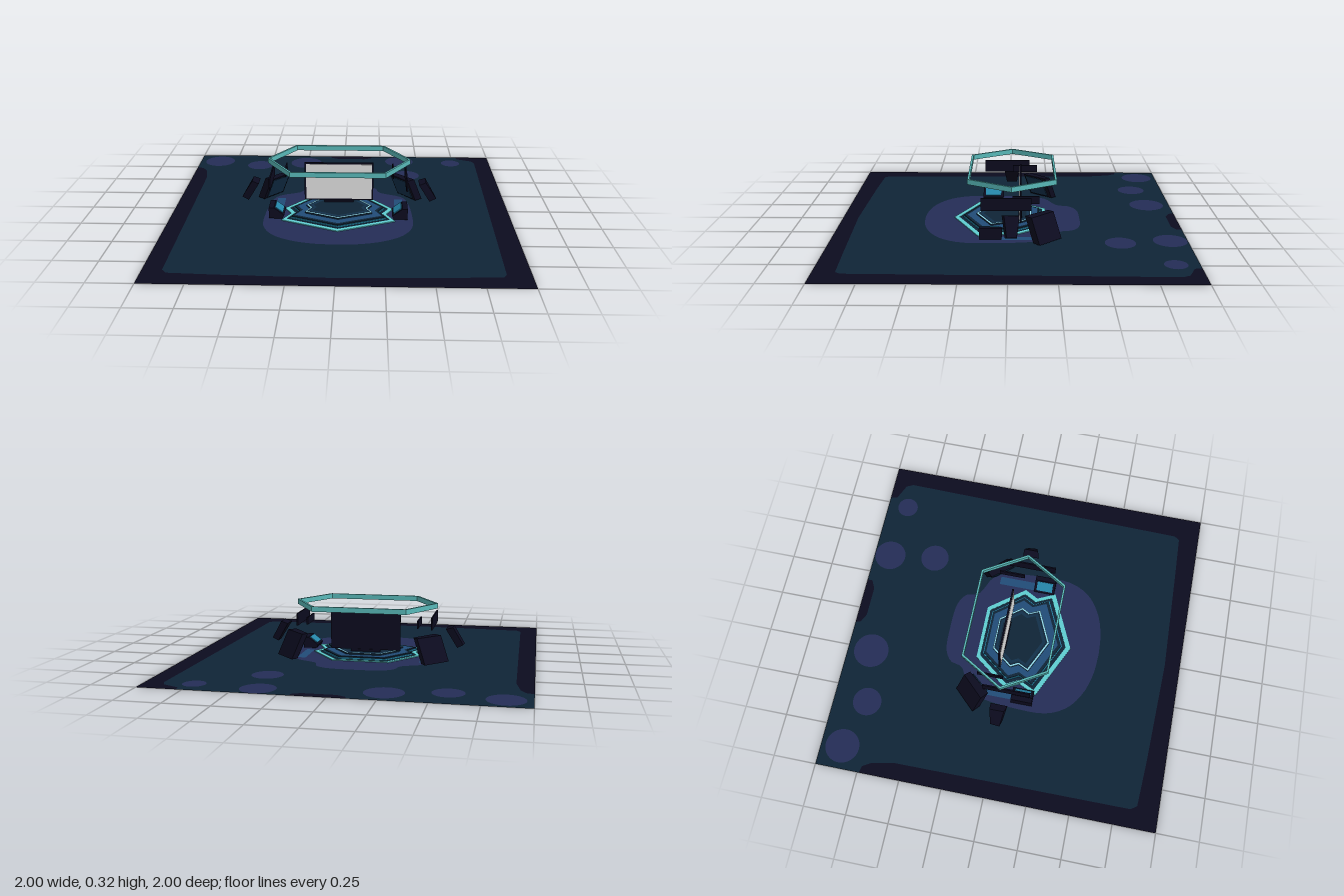
import * as THREE from 'three';
import { ConvexGeometry } from 'three/addons/geometries/ConvexGeometry.js';

const CX = -0.01; // middle of the stage

function mat(name, color) {
  const m = new THREE.MeshStandardMaterial({ color, side: THREE.DoubleSide });
  m.name = name;
  return m;
}

// points are [x, z] on the ground plan
const plan = (pts) => pts.map(([x, z]) => new THREE.Vector2(x, -z));
const shapeOf = (pts, holes = []) => {
  const s = new THREE.Shape(plan(pts));
  holes.forEach((h) => s.holes.push(new THREE.Path(plan(h))));
  return s;
};
const circle = (x, z, r) => Array.from({ length: 32 }, (_, i) => {
  const a = (i / 32) * Math.PI * 2;
  return [x + r * Math.cos(a), z + r * Math.sin(a)];
});
// mirrors a half outline (front to back order) about the stage middle
const mirrored = (half) => [
  ...half.map(([d, z]) => [CX + d, z]),
  ...half.slice().reverse().filter(([d]) => d > 0).map(([d, z]) => [CX - d, z]),
];

export function createModel() {
  const root = new THREE.Group();
  root.name = 'stage';
  const M = {
    black: mat('near black', 0x0c0b1f),
    field: mat('dark teal', 0x0f2436),
    purple: mat('dusk purple', 0x242d56),
    aqua: mat('aqua glow', 0x5ecdd0),
    hoop: mat('hoop teal', 0x58b8b8),
    blue: mat('deep blue', 0x214c78),
    bright: mat('bright blue', 0x2585a8),
    white: mat('screen white', 0xdedede),
    pale: mat('pale cyan', 0x90d8ea),
    navy: mat('navy', 0x12304a),
  };
  const add = (name, geo, m, parent = root) => {
    const mesh = new THREE.Mesh(geo, m);
    mesh.name = name;
    parent.add(mesh);
    return mesh;
  };
  const flat = (name, pts, m, holes = [], y = 0) =>
    add(name, new THREE.ShapeGeometry(shapeOf(pts, holes)).rotateX(-Math.PI / 2).translate(0, y, 0), m);
  const slab = (name, pts, m, y0, y1, holes = []) =>
    add(name, new THREE.ExtrudeGeometry(shapeOf(pts, holes), { depth: y1 - y0, bevelEnabled: false })
      .rotateX(-Math.PI / 2).translate(0, y0, 0), m);
  const box = (name, x0, x1, y0, y1, z0, z1, m, parent) =>
    add(name, new THREE.BoxGeometry(x1 - x0, y1 - y0, z1 - z0)
      .translate((x0 + x1) / 2, (y0 + y1) / 2, (z0 + z1) / 2), m, parent);

  // Ground: dark border, teal field, round spots, purple patch
  const edge = [[-1, -0.74], [-0.96, -0.73], [-0.93, -0.68], [-0.905, -0.55], [-0.895, 0.84], [-0.87, 0.875],
    [-0.6, 0.89], [0, 0.91], [0.6, 0.89], [0.85, 0.88], [0.87, 0.85], [0.9, -0.88], [0.88, -0.92],
    [0.79, -0.96], [0.78, -1]];
  const notch = [[0.19, -1], [0.19, -0.97], [0.14, -0.945], [-0.04, -0.945], [-0.09, -0.97], [-0.1, -1]];
  const spots = [[-0.866, -0.874, 0.1], [-0.578, -0.8, 0.085], [-0.262, -0.858, 0.105],
    [0.38, -0.902, 0.096], [0.733, -0.874, 0.063], [0.417, -0.62, 0.087]].map((s) => circle(...s));
  const halfPatch = [[0, 0.505], [0.13, 0.495], [0.26, 0.455], [0.37, 0.375], [0.43, 0.25], [0.435, 0.08],
    [0.42, -0.1], [0.38, -0.22], [0.25, -0.29], [0.22, -0.37], [0.14, -0.413], [0, -0.42]];
  const patch = new THREE.SplineCurve(plan([...mirrored(halfPatch), [CX, 0.505]]))
    .getPoints(72).slice(0, -1).map((p) => [p.x, -p.y]);

  // Nine-sided stage outline, scaled for each ring and step
  const halfStage = [[0, 0.33], [0.332, 0.175], [0.282, 0.07], [0.325, -0.01], [0.165, -0.22]];
  const stage = (k) => mirrored(halfStage.map(([d, z]) => [d * k, z * k]));
  const mats = [-1, 1].map((s) => [[0.335, -0.18], [0.385, -0.18], [0.385, 0.04], [0.335, 0.04]]
    .map(([d, z]) => [CX + s * d, z]));

  flat('groundBorder', [...edge, [1, -1], [1, 1], [-1, 1]], M.black);
  flat('groundNotch', notch, M.black);
  flat('groundField', [...edge, ...notch, [-1, -1]], M.field, [...spots, patch]);
  spots.forEach((s) => flat('groundSpot', s, M.purple));
  flat('groundPatch', patch, M.purple, [stage(1), ...mats]);
  mats.forEach((p) => flat('floorMat', p, M.blue));

  // Stage: glowing outline, trim, two steps and a thin light line
  slab('stageOutline', stage(1), M.aqua, 0, 0.005, [stage(0.91)]);
  flat('stageFloor', stage(0.91), M.black);
  flat('stageFloorTop', stage(0.91), M.field, [], 0.003);
  slab('stageTrim', stage(0.84), M.bright, 0.003, 0.011);
  slab('lowerStep', stage(0.82), M.field, 0.011, 0.018);
  flat('stepBand', stage(0.76), M.blue, [stage(0.6)], 0.0195);
  slab('upperStep', stage(0.6), M.field, 0.018, 0.028);
  flat('lightLine', stage(0.6), M.pale, [stage(0.565)], 0.0295);
  flat('innerBand', stage(0.53), M.navy, [stage(0.47)], 0.0295);

  // Screen on a low foot
  box('screenFoot', -0.1, 0.075, 0.028, 0.042, -0.075, -0.055, M.black);
  box('screenFrame', -0.22, 0.195, 0.04, 0.277, -0.072, -0.062, M.black);
  box('screenFace', -0.21, 0.186, 0.049, 0.268, -0.063, -0.059, M.white);

  // Hanging six-sided hoop
  const hoop = (t) => mirrored([[0.272 - t * 0.6, 0.235 - t], [0.422 - t * 1.15, -0.016], [0.272 - t * 0.6, -0.27 + t]]);
  slab('hoop', hoop(0), M.hoop, 0.29, 0.32, [hoop(0.012)]);

  // Consoles, side panels and outer speakers on both sides
  for (const s of [-1, 1]) {
    const side = new THREE.Group();
    side.name = s < 0 ? 'rightEquipment' : 'leftEquipment';
    root.add(side);
    const hull = (name, pts, m) => {
      const g = new ConvexGeometry(pts.map(([d, y, z]) => new THREE.Vector3(CX + s * d, y, z)));
      return add(name, g, m, side);
    };
    const wall = (name, d, y0, y1, z0, z1) =>
      box(name, CX + s * d - 0.004, CX + s * d + 0.004, y0, y1, z0, z1, M.black, side);

    // rear console leans in towards the stage
    const foot = [[0.505, -0.17], [0.385, -0.295], [0.36, -0.265], [0.465, -0.135]];
    hull('rearConsole', foot.flatMap(([d, z]) => [[d, 0.012, z], [d - 0.052, 0.153, z + 0.045]]), M.black);
    const face = (t, off) => [[0.455, -0.147], [0.37, -0.248]]
      .map(([d, z]) => [d - 0.052 * t - off, 0.012 + 0.141 * t, z + 0.045 * t + off]);
    hull('rearConsoleScreen', [0.08, 0.95].flatMap((t) => [...face(t, 0.003), ...face(t, 0.007)]), M.navy);

    // front console with a sloping touch panel
    const prof = [[0.405, 0.01], [0.405, 0.075], [0.375, 0.075], [0.315, 0.03], [0.325, 0.01]];
    hull('frontConsole', prof.flatMap(([d, y]) => [[d, y, 0.04], [d, y, 0.167]]), M.black);
    const slope = [[0.37, 0.0725], [0.325, 0.0385]];
    hull('touchPanel', slope.flatMap(([d, y]) => [0.055, 0.152]
      .flatMap((z) => [[d, y, z], [d - 0.003, y + 0.004, z]])), M.bright);

    // thin hanging panels
    wall('longPanel', 0.398, 0.178, 0.25, -0.125, 0.155);
    wall('shortPanel', 0.324, 0.195, 0.238, -0.172, -0.02);

    // tilted outer speaker, narrower at its foot
    hull('outerSpeaker', [
      [0.575, 0.083, -0.045], [0.58, 0.083, 0.01], [0.54, 0.066, -0.045], [0.54, 0.066, 0.02],
      [0.515, 0.188, -0.06], [0.515, 0.188, 0.025], [0.475, 0.175, -0.06], [0.475, 0.175, 0.038],
    ], M.black);
  }
  return root;
}
